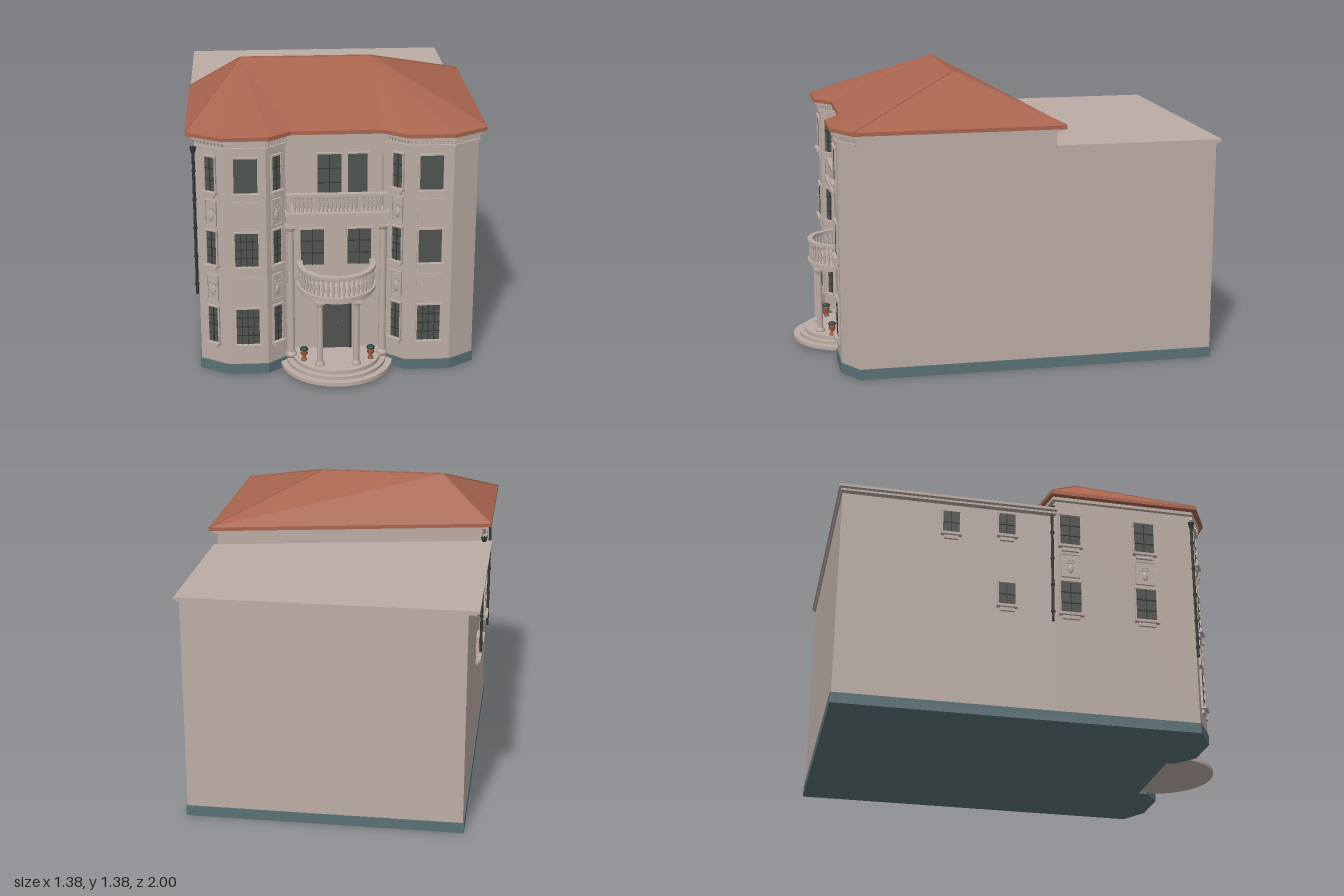
import * as THREE from 'three';

const mat = (name, color, side = THREE.FrontSide) => {
  const m = new THREE.MeshStandardMaterial({ color, side });
  m.name = name;
  return m;
};

export function createModel() {
  const house = new THREE.Group();
  house.name = 'house';
  const stucco = mat('stucco', 0xbcada5), tile = mat('roofTile', 0xa9654f), glass = mat('darkGlass', 0x4f534f);
  const stone = mat('plinthStone', 0x5a7176), iron = mat('darkIron', 0x333835);
  const clay = mat('terracotta', 0xa35a40), leaf = mat('foliage', 0x34463c);

  const add = (parent, name, geo, m, x = 0, y = 0, z = 0) => {
    const mesh = new THREE.Mesh(geo, m);
    mesh.name = name;
    mesh.position.set(x, y, z);
    parent.add(mesh);
    return mesh;
  };
  const box = (parent, name, w, h, d, m, x, y, z) => add(parent, name, new THREE.BoxGeometry(w, h, d), m, x, y, z);
  const group = (name, parent = house) => {
    const g = new THREE.Group();
    g.name = name;
    parent.add(g);
    return g;
  };
  const lathe = (pts, n = 12) => new THREE.LatheGeometry(pts.map(p => new THREE.Vector2(...p)), n);

  // Prism from a plan outline of [x, z] points
  const rise = (shape, y, h) => new THREE.ExtrudeGeometry(shape, { depth: h, bevelEnabled: false, curveSegments: 32 })
    .rotateX(-Math.PI / 2).translate(0, y, 0);
  const prism = (pts, y, h) => rise(new THREE.Shape(pts.map(([x, z]) => new THREE.Vector2(x, -z))), y, h);
  // Move every side of an outline outwards by o
  const outset = (pts, o) => pts.map((p, i) => {
    const normal = (a, b) => {
      const dx = b[0] - a[0], dz = b[1] - a[1], l = Math.hypot(dx, dz);
      return [-dz / l, dx / l];
    };
    const n = pts.length, a = normal(pts[(i + n - 1) % n], p), b = normal(p, pts[(i + 1) % n]);
    const k = o / (1 + a[0] * b[0] + a[1] * b[1]);
    return [p[0] + (a[0] + b[0]) * k, p[1] + (a[1] + b[1]) * k];
  });

  // Plan outlines
  const bayL = [[-0.64, 0.73], [-0.51, 0.81], [-0.325, 0.81], [-0.235, 0.735]];
  const bayR = [[0.235, 0.735], [0.325, 0.81], [0.53, 0.81], [0.65, 0.735]];
  const front = [...bayL, [-0.235, 0.69], [0.235, 0.69], ...bayR];
  const stepBack = [[0.65, -0.2], [-0.64, 0.05]];
  const rear = [[0.65, -0.98], [-0.64, -0.98]];

  // Walls and plinth
  add(house, 'frontBlock', prism([...front, ...stepBack], 0.01, 1.155), stucco);
  add(house, 'rearBlock', prism([stepBack[0], ...rear, stepBack[1]], 0.01, 1.07), stucco);
  add(house, 'plinth', prism(outset([...front, ...rear], 0.005), 0, 0.05), stone);
  add(house, 'rearRoofEdge', prism([[0.66, -0.2], [0.66, -0.99], [-0.67, -0.99], [-0.67, 0.05]], 1.065, 0.01), stucco);
  add(house, 'rearRoof', prism([[0.67, -0.2], [0.67, -1], [-0.69, -1], [-0.69, 0.05]], 1.075, 0.013), stucco);
  add(house, 'cornice', prism(outset([...bayL, ...bayR, ...stepBack], 0.018), 1.15, 0.016), stucco);

  // Hipped roof
  const eave = [[-0.685, 0.75], [-0.52, 0.845], [-0.31, 0.845], [-0.21, 0.765], [0.21, 0.765],
    [0.315, 0.845], [0.53, 0.845], [0.685, 0.75], [0.685, -0.24], [-0.685, 0.02]];
  add(house, 'eaves', prism(eave, 1.166, 0.018), tile);
  const E = eave.map(([x, z]) => new THREE.Vector3(x, 1.184, z));
  const A = new THREE.Vector3(-0.43, 1.38, 0.21), B = new THREE.Vector3(0.19, 1.38, 0.21);
  const tris = [E[3], E[4], B, A, E[3], B, E[7], E[8], B, E[8], E[9], A, E[8], A, B, E[9], E[0], A];
  for (let i = 0; i < 3; i++) tris.push(E[i], E[i + 1], A, E[i + 4], E[i + 5], B);
  const roofGeo = new THREE.BufferGeometry().setFromPoints(tris);
  roofGeo.computeVertexNormals();
  add(house, 'roof', roofGeo, tile);
  [[A, B], [A, E[0]], [A, E[9]], [B, E[7]], [B, E[8]]].forEach(([p, q]) =>
    add(house, 'ridgeCap', new THREE.TubeGeometry(new THREE.LineCurve3(p, q), 1, 0.004, 6), tile));

  // A facet is a group on a wall: x along it from its middle, z outwards
  const facet = (name, a, b) => {
    const g = group(name), dx = b[0] - a[0], dz = b[1] - a[1];
    g.position.set((a[0] + b[0]) / 2, 0, (a[1] + b[1]) / 2);
    g.rotation.y = Math.atan2(-dz, dx);
    g.userData.length = Math.hypot(dx, dz);
    return g;
  };
  const windowAt = (parent, x, y0, y1, w, cols = 0, rows = 0, sill = true) => {
    const g = group('window', parent), h = y1 - y0, t = 0.007;
    g.position.set(x, (y0 + y1) / 2, 0);
    box(g, 'pane', w, h, 0.004, glass, 0, 0, 0.002);
    for (const s of [-1, 1]) {
      box(g, 'jamb', t, h + t, 0.01, stucco, s * (w + t) / 2, 0, 0.005);
    }
    box(g, 'lintel', w + 2 * t, t, 0.012, stucco, 0, (h + t) / 2, 0.006);
    for (let i = 1; i < cols; i++) box(g, 'mullion', 0.004, h, 0.004, iron, w * (i / cols - 0.5), 0, 0.006);
    for (let i = 1; i < rows; i++) box(g, 'glazingBar', w, 0.004, 0.004, iron, 0, h * (i / rows - 0.5), 0.006);
    if (!sill) return;
    box(g, 'sill', w + 0.02, 0.013, 0.024, stucco, 0, -h / 2 - 0.007, 0.012);
    box(g, 'apron', w * 0.85, 0.018, 0.012, stucco, 0, -h / 2 - 0.022, 0.006);
  };
  const panelAt = (parent, y, w, h, ornate) => {
    const g = group('wallPanel', parent);
    g.position.y = y;
    box(g, 'panelPlate', w, h, 0.005, stucco, 0, 0, 0.0025);
    if (!ornate) return;
    for (const s of [-1, 1]) {
      box(g, 'panelSide', 0.005, h, 0.01, stucco, s * w / 2, 0, 0.005);
      box(g, 'panelRail', w, 0.005, 0.01, stucco, 0, s * h / 2, 0.005);
      add(g, 'scroll', new THREE.TorusGeometry(0.009, 0.003, 5, 12), stucco, s * 0.009, 0.02, 0.007);
    }
    add(g, 'shieldRelief', new THREE.SphereGeometry(0.013, 10, 8).scale(1, 2, 0.5), stucco, 0, -0.015, 0.005);
  };
  const floors = [[0.155, 0.335], [0.55, 0.715], [0.91, 1.075]];
  const bayFace = (name, a, b, w, grids, off = 0) => {
    const g = facet(name, a, b), inner = group('openings', g);
    inner.position.x = off;
    floors.forEach(([y0, y1], i) => w && windowAt(inner, 0, y0, y1, w, ...grids[i]));
    if (w) for (const y of [0.432, 0.803]) panelAt(inner, y, w > 0.08 ? 0.12 : 0.055, 0.125, w < 0.08);
    // Frieze with dentils
    const l = g.userData.length, n = Math.round(l / 0.018);
    box(g, 'friezeBand', l + 0.006, 0.01, 0.01, stucco, 0, 1.12, 0.005);
    for (let i = 0; i < n; i++) box(g, 'dentil', 0.009, 0.018, 0.014, stucco, l * ((i + 0.5) / n - 0.5), 1.141, 0.007);
  };
  const slim = [[2, 4], [2, 4], [2, 3]];
  bayFace('leftOuterFace', bayL[0], bayL[1], 0.05, slim);
  bayFace('leftBayFace', bayL[1], bayL[2], 0.107, [[4, 4], [4, 4], [0, 0]]);
  bayFace('leftInnerFace', bayL[2], bayL[3], 0.05, slim);
  bayFace('rightInnerFace', bayR[0], bayR[1], 0.05, slim);
  bayFace('rightBayFace', bayR[1], bayR[2], 0.107, [[4, 4], [0, 0], [0, 0]]);
  bayFace('rightOuterFace', bayR[2], bayR[3], 0);

  // Windows of the side wall
  [0.12, 0.49].forEach(z => {
    const g = facet('sideWindows', [-0.64, z - 0.05], [-0.64, z + 0.05]);
    floors.slice(1).forEach(([y0, y1]) => windowAt(g, 0, y0, y1, 0.1, 2, 3));
    panelAt(g, 0.803, 0.09, 0.12, true);
  });
  [[-0.46, 0.965], [-0.19, 0.985], [-0.19, 0.615]].forEach(([z, y]) =>
    windowAt(facet('rearSideWindow', [-0.64, z - 0.05], [-0.64, z + 0.05]), 0, y - 0.055, y + 0.06, 0.08, 2, 2));

  // Downpipes
  [[0.03, 0.5], [0.735, 0.385]].forEach(([z, y0]) => {
    const g = group('downpipe');
    const h = 1.1 - y0;
    add(g, 'pipe', new THREE.CylinderGeometry(0.007, 0.007, h, 8), iron, -0.651, y0 + h / 2, z);
    add(g, 'pipeHopper', new THREE.CylinderGeometry(0.016, 0.009, 0.03, 8), iron, -0.651, 1.095, z);
    for (let y = y0 + 0.05; y < 1.06; y += 0.14)
      add(g, 'pipeClip', new THREE.CylinderGeometry(0.01, 0.01, 0.01, 8), iron, -0.651, y, z);
  });

  // Upper loggia wall with a round-cornered opening
  const wall = new THREE.Shape([[-0.24, 0.73], [0.24, 0.73], [0.24, 1.16], [-0.24, 1.16]].map(p => new THREE.Vector2(...p)));
  const hole = new THREE.Path().moveTo(-0.215, 0.8).lineTo(0.215, 0.8).lineTo(0.215, 1.05)
    .absarc(0.175, 1.05, 0.04, 0, Math.PI / 2).absarc(-0.175, 1.05, 0.04, Math.PI / 2, Math.PI);
  wall.holes.push(hole);
  add(house, 'loggiaWall', new THREE.ExtrudeGeometry(wall, { depth: 0.045, bevelEnabled: false }), stucco, 0, 0, 0.69);

  // Recess windows and door
  const recess = facet('recessWall', [-0.235, 0.69], [0.235, 0.69]);
  windowAt(recess, -0.03, 0.84, 1.05, 0.11, 2, 3, false);
  windowAt(recess, 0.1, 0.84, 1.05, 0.09, 0, 0, false);
  for (const s of [-1, 1]) windowAt(recess, s * 0.11, 0.5, 0.68, 0.11, 2, 3, false);
  box(recess, 'doorLeaf', 0.13, 0.235, 0.008, glass, 0, 0.185, 0.006);
  box(recess, 'doorTransom', 0.14, 0.045, 0.008, glass, 0, 0.328, 0.006);
  box(recess, 'transomBar', 0.145, 0.01, 0.014, iron, 0, 0.303, 0.007);
  for (const s of [-1, 1]) box(recess, 'doorJamb', 0.01, 0.29, 0.016, iron, s * 0.07, 0.21, 0.008);
  add(recess, 'doorKnob', new THREE.SphereGeometry(0.005, 8, 6), clay, 0.012, 0.2, 0.014);

  // Round steps
  const cz = 0.735;
  [[0.265, 0.016, 0.018], [0.235, 0.034, 0.016], [0.21, 0.05, 0.018]].forEach(([r, y, h]) =>
    add(house, 'step', new THREE.CylinderGeometry(r, r, h, 64), stucco, 0, y + h / 2, cz));

  // Columns
  const column = (x, z, y0, y1, r) => {
    const g = group('column');
    add(g, 'columnShaft', lathe([[0, 0], [r * 1.5, 0], [r * 1.5, 0.015], [r * 1.15, 0.025], [r, 0.03],
      [r * 0.85, y1 - y0 - 0.03], [r * 1.1, y1 - y0 - 0.025], [r * 1.35, y1 - y0 - 0.01]], 20), stucco, x, y0, z);
    box(g, 'capital', r * 3, 0.01, r * 3, stucco, x, y1 - 0.005, z);
  };
  for (const s of [-1, 1]) {
    column(s * 0.215, 0.76, 0.06, 0.73, 0.018);
    column(s * 0.085, 0.873, 0.06, 0.395, 0.015);
  }

  // Curved balcony over the door
  const arcBand = (r0, r1, y, h) => {
    const s = new THREE.Shape(), a = Math.PI - 0.2, b = 2 * Math.PI + 0.2;
    s.absarc(0, 0, r1, a, b, false).absarc(0, 0, r0, b, a, true);
    return rise(s, y, h).translate(0, 0, cz);
  };
  const baluster = h => lathe([[0.006, 0], [0.004, 0.12], [0.0085, 0.35], [0.0035, 0.75], [0.0065, 0.92], [0.006, 1]]
    .map(([r, y]) => [r, y * h]), 8);
  const balcony = group('curvedBalcony');
  add(balcony, 'balconyBeam', arcBand(0.13, 0.172, 0.39, 0.02), stucco);
  add(balcony, 'balconyFloor', arcBand(0.001, 0.185, 0.408, 0.016), stucco);
  add(balcony, 'balconyRail', arcBand(0.158, 0.184, 0.512, 0.015), stucco);
  for (let i = 0; i <= 22; i++) {
    const a = Math.PI * i / 22;
    add(balcony, 'baluster', baluster(0.09), stucco, 0.171 * Math.cos(a), 0.423, cz + 0.171 * Math.sin(a));
  }

  // Straight upper balcony
  const upper = group('upperBalcony');
  box(upper, 'balconyBeam', 0.47, 0.06, 0.06, stucco, 0, 0.76, 0.75);
  box(upper, 'balconyFloor', 0.48, 0.012, 0.09, stucco, 0, 0.793, 0.76);
  box(upper, 'balconyRail', 0.47, 0.014, 0.026, stucco, 0, 0.882, 0.782);
  for (let i = 0; i < 22; i++) add(upper, 'baluster', baluster(0.078), stucco, -0.195 + 0.39 * i / 21, 0.798, 0.782);
  for (const x of [-0.222, -0.1, 0.1, 0.222]) box(upper, 'balconyPost', 0.018, 0.08, 0.02, stucco, x, 0.838, 0.782);

  // Potted plants
  for (const s of [-1, 1]) {
    const pot = group('flowerPot');
    pot.position.set(s * 0.157, 0.068, 0.82);
    add(pot, 'vase', lathe([[0, 0], [0.014, 0], [0.014, 0.006], [0.006, 0.014], [0.018, 0.035], [0.014, 0.045], [0.02, 0.052], [0, 0.052]]), clay);
    add(pot, 'plant', new THREE.IcosahedronGeometry(0.02, 1).scale(1, 0.6, 1), leaf, 0, 0.057, 0);
  }
  return house;
}
